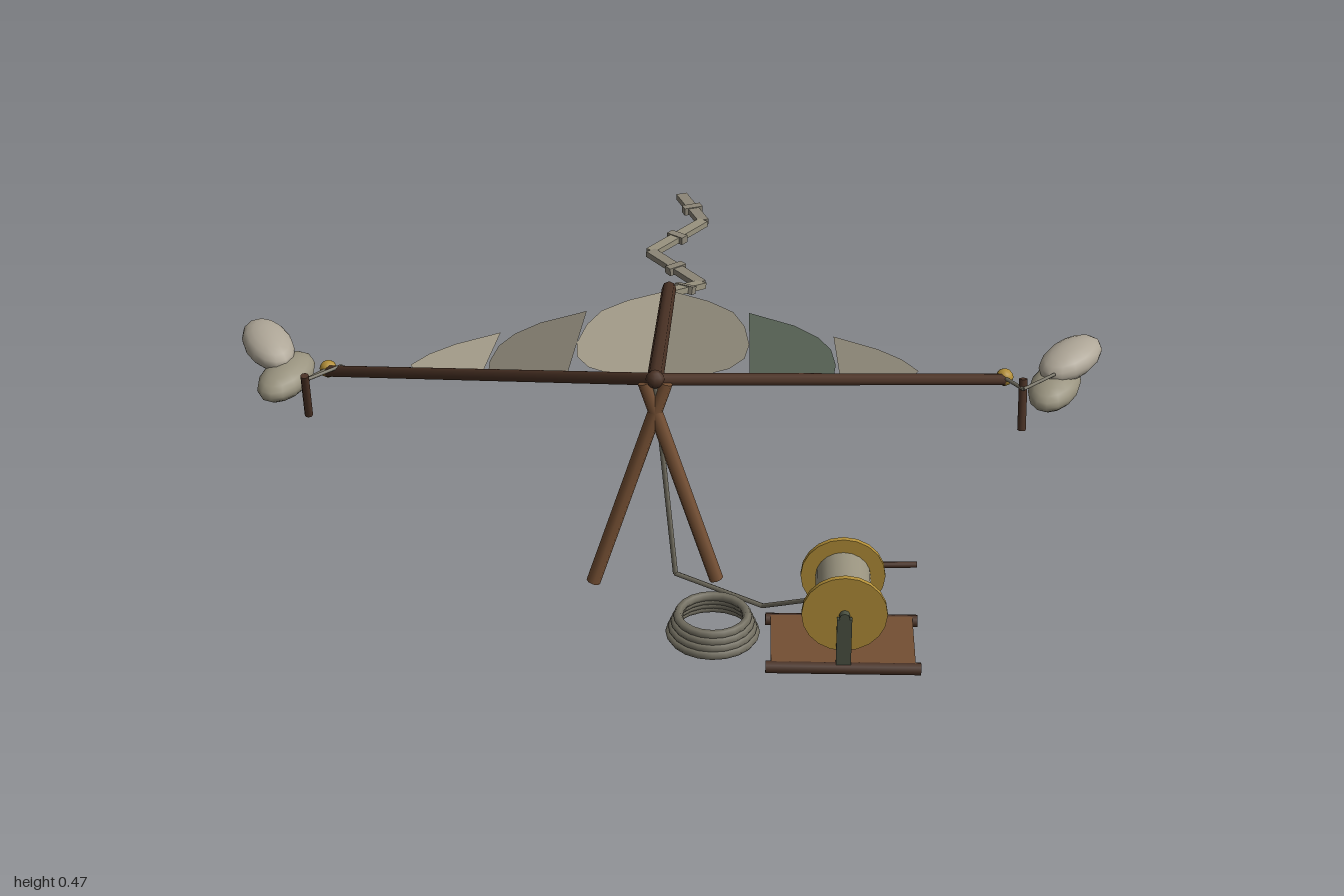
import * as THREE from 'three';

const mat = (name, color, double) => {
  const m = new THREE.MeshStandardMaterial({ color });
  m.name = name;
  if (double) m.side = THREE.DoubleSide;
  return m;
};

export function createModel() {
  const root = new THREE.Group();
  root.name = 'gliderRig';
  const canvas = mat('paleCanvas', 0xb9b09b, true);
  const greyCanvas = mat('greyCanvas', 0x8c8677, true);
  const greenCanvas = mat('greenCanvas', 0x566154, true);
  const darkWood = mat('darkWood', 0x4a3225);
  const wood = mat('wood', 0x744f33);
  const brass = mat('brass', 0xb38f38);
  const rope = mat('rope', 0x747062);
  const paleCord = mat('paleCord', 0x99937f);
  const stone = mat('stone', 0xaea697);
  const iron = mat('iron', 0x4c5243);

  const V = (a) => new THREE.Vector3(...a);
  const add = (name, geo, material, pos = [0, 0, 0], parent = root) => {
    const m = new THREE.Mesh(geo, material);
    m.name = name;
    m.position.set(...pos);
    parent.add(m);
    return m;
  };
  // Round rod between two points
  const rod = (name, a, b, r, material, parent = root, sides = 8) => {
    const A = V(a), d = V(b).sub(A);
    const m = add(name, new THREE.CylinderGeometry(r, r, d.length(), sides), material, [0, 0, 0], parent);
    m.position.copy(A).addScaledVector(d, 0.5);
    m.quaternion.setFromUnitVectors(new THREE.Vector3(0, 1, 0), d.normalize());
    return m;
  };

  // Sail and its frame
  const sail = new THREE.Group();
  sail.name = 'sail';
  sail.position.x = -0.01;
  root.add(sail);
  const apex = [0, 0.45, 0.64];
  rod('ridgeSpar', apex, [0, 0.09, -0.41], 0.016, darkWood, sail);
  for (const s of [-1, 1]) rod('boom', apex, [s * 0.725, 0.075, -0.04], 0.013, darkWood, sail);
  add('apexLashing', new THREE.SphereGeometry(0.018, 8, 6), darkWood, apex, sail);

  // Panels follow a plane falling to the rear and to each side
  const height = (x, z) => 0.45 - 0.346 * (0.64 - z) - 0.21 * Math.abs(x);
  const panel = (name, side, outline, material) => {
    const shape = new THREE.Shape(outline.map(([x, z]) => new THREE.Vector2(side * x, -z)));
    const geo = new THREE.ShapeGeometry(shape);
    const p = geo.attributes.position;
    for (let i = 0; i < p.count; i++) {
      const x = p.getX(i), z = -p.getY(i);
      p.setXYZ(i, x, height(x, z), z);
    }
    geo.computeVertexNormals();
    add(name, geo, material, [0, 0, 0], sail);
  };
  const centre = [[0, -0.4], [0.09, -0.36], [0.145, -0.28], [0.17, -0.13], [0.18, 0.08],
    [0.17, 0.25], [0.14, 0.39], [0.085, 0.52], [0, 0.61]];
  const middle = [[0.18, -0.31], [0.28, -0.26], [0.33, -0.17], [0.355, -0.05], [0.36, 0.12],
    [0.35, 0.29], [0.29, 0.36], [0.18, 0.46]];
  const outer = [[0.365, -0.22], [0.46, -0.17], [0.51, -0.1], [0.54, 0], [0.52, 0.1],
    [0.46, 0.19], [0.365, 0.28]];
  // Pale and grey cloth alternate across the span, with one green panel
  panel('rightOuterPanel', -1, outer, canvas);
  panel('rightMiddlePanel', -1, middle, greyCanvas);
  panel('rightCentrePanel', -1, centre, canvas);
  panel('leftCentrePanel', 1, centre, greyCanvas);
  panel('leftMiddlePanel', 1, middle, greenCanvas);
  panel('leftOuterPanel', 1, outer, greyCanvas);

  // Crossed front legs
  rod('rightLeg', [-0.13, 0.02, 0.685], [0.01, 0.44, 0.635], 0.014, wood);
  rod('leftLeg', [0.11, 0.03, 0.685], [-0.03, 0.44, 0.635], 0.014, wood);

  // Zigzag tail with tied strips
  const tail = [[-0.01, 0.085, -0.4], [0.06, 0.032, -0.54], [-0.06, 0.03, -0.7], [0.06, 0.03, -0.86], [0.005, 0.03, -1]];
  for (let i = 0; i < 4; i++) {
    const A = V(tail[i]), B = V(tail[i + 1]);
    const seg = add('tailSegment', new THREE.BoxGeometry(0.026, 0.014, A.distanceTo(B)), i % 2 ? greyCanvas : paleCord);
    seg.position.copy(A).lerp(B, 0.5);
    seg.lookAt(B);
    const tie = add('tailTie', new THREE.BoxGeometry(0.045, 0.018, 0.02), greyCanvas, seg.position.toArray());
    tie.quaternion.copy(seg.quaternion);
  }

  // Wing tip fittings, stakes and anchor stones
  const pebble = (pos, dir, material) => {
    const m = add('anchorStone', new THREE.SphereGeometry(1, 14, 10), material, pos);
    m.scale.set(0.052, 0.035, 0.086);
    m.lookAt(V(pos).add(V(dir)));
  };
  for (const s of [-1, 1]) {
    const x = s < 0 ? -0.77 : 0.75;
    add('tipKnob', new THREE.SphereGeometry(0.019, 10, 8), brass, [s * 0.725 - 0.008, 0.078, -0.045]);
    rod('stake', [x, 0.005, 0.04 + s * 0.013], [x, 0.115, 0.04 - s * 0.013], 0.009, darkWood);
    rod('stakeLine', [x, 0.1, 0.045], [x + 0.07, 0.1, -0.02], 0.004, rope, root, 6);
    rod('tipLine', [x, 0.1, 0.045], [s * 0.725 - 0.01, 0.08, -0.04], 0.004, rope, root, 6);
    pebble([s * 0.825, 0.057, -0.045], [-0.4, -0.12, 0.9], paleCord);
  }
  pebble([-0.87, 0.1, -0.11], [0.45, -0.15, 0.86], stone);
  pebble([0.86, 0.1, -0.09], [-0.68, -0.15, 0.7], stone);

  // Winch board with end rails
  add('winchBoard', new THREE.BoxGeometry(0.27, 0.016, 0.16), wood, [0.35, 0.035, 0.905]);
  for (const z of [0.825, 0.985]) {
    rod('boardRail', [0.205, 0.032, z], [0.495, 0.032, z], 0.012, darkWood);
    add('winchBracket', new THREE.BoxGeometry(0.028, 0.105, 0.01), iron, [0.35, 0.09, z]);
  }
  // Reel: drum, flanges, axle and crank
  rod('drum', [0.35, 0.145, 0.84], [0.35, 0.145, 0.97], 0.052, paleCord, root, 20);
  for (const z of [0.84, 0.972]) rod('reelFlange', [0.35, 0.145, z - 0.005], [0.35, 0.145, z + 0.005], 0.08, brass, root, 20);
  rod('axle', [0.35, 0.145, 0.81], [0.35, 0.145, 0.99], 0.01, iron);
  rod('crank', [0.35, 0.15, 0.815], [0.49, 0.153, 0.815], 0.006, darkWood);

  // Coiled rope stack
  for (let i = 0; i < 4; i++) {
    const ring = add('ropeCoil', new THREE.TorusGeometry(0.081 - i * 0.005, 0.009, 6, 20), rope, [0.105, 0.026 + i * 0.012, 0.86]);
    ring.rotation.x = Math.PI / 2;
  }

  // Tow line from the apex to the ground and on to the reel
  const line = [[-0.01, 0.44, 0.64], [0.03, 0.035, 0.675], [0.2, 0.035, 0.785], [0.31, 0.11, 0.87]];
  for (let i = 0; i < 3; i++) rod('towLine', line[i], line[i + 1], 0.005, rope, root, 6);

  return root;
}
